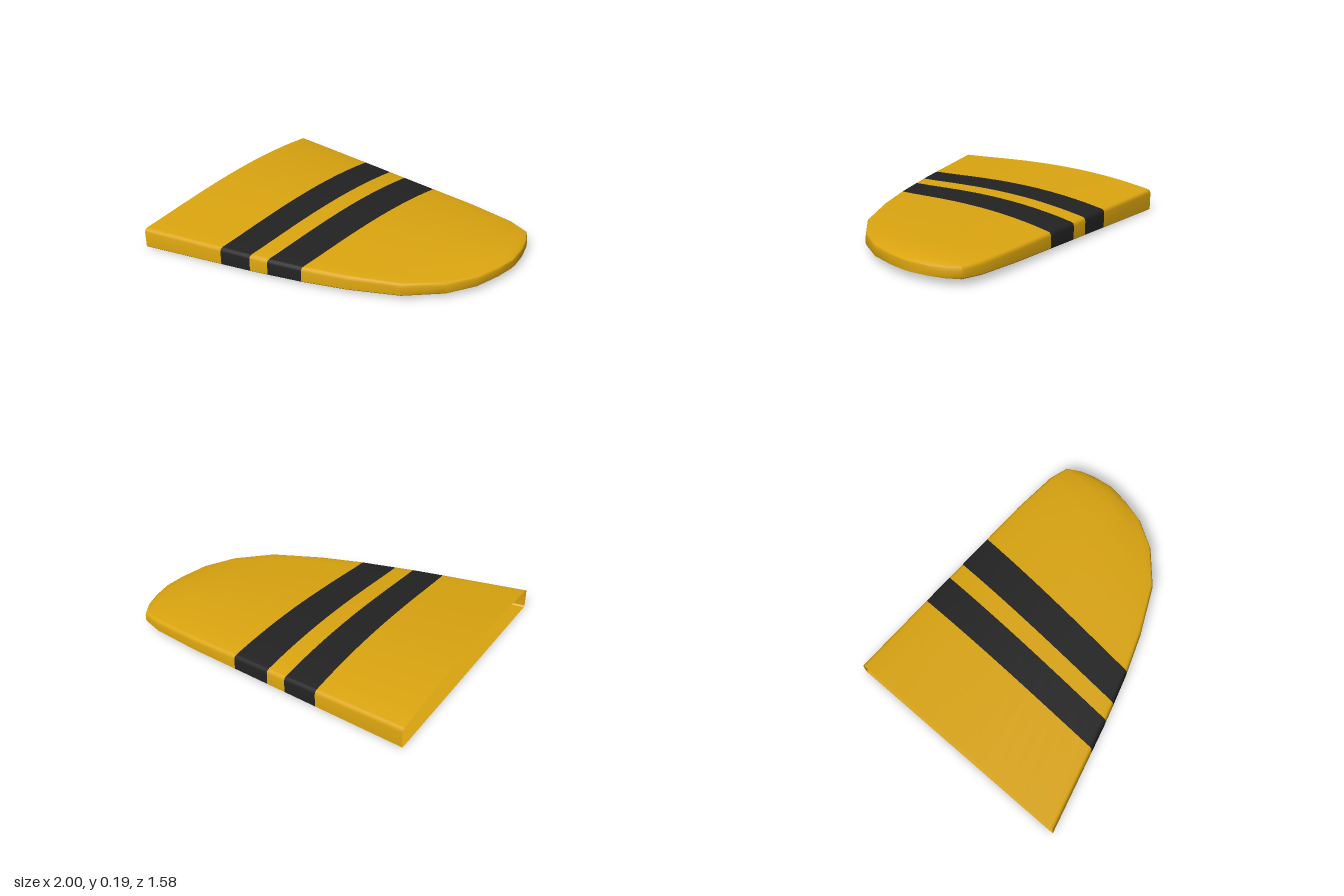
import * as THREE from 'three';
import { toCreasedNormals } from 'three/addons/utils/BufferGeometryUtils.js';

// Spanwise ribs from open root to rounded tip:
// front x, front z, back x, back z, edge height, crown height, material of the strip that follows
const RIBS = [
  [-1, 0.787, -1, -0.795, 0.14, 0.187, 0],
  [-0.47, 0.645, -0.42, -0.795, 0.136, 0.178, 1],
  [-0.275, 0.592, -0.205, -0.795, 0.134, 0.173, 0],
  [-0.16, 0.557, -0.08, -0.795, 0.132, 0.17, 1],
  [0.055, 0.49, 0.16, -0.795, 0.13, 0.165, 0],
  [0.32, 0.39, 0.48, -0.795, 0.127, 0.157, 0],
  [0.62, 0.245, 0.78, -0.78, 0.122, 0.149, 0],
  [0.82, 0.065, 0.91, -0.745, 0.116, 0.138, 0],
  [0.93, -0.11, 0.955, -0.67, 0.111, 0.126, 0],
  [0.98, -0.28, 0.985, -0.57, 0.106, 0.114, 0],
  [1, -0.4, 1, -0.46, 0.101, 0.104, 0],
];
const BENT_RIB = 4; // the outer stripe's edge kinks on the underside
const TOP_STEPS = 14;

// Upswept underside
const floorY = (x) => 0.022 * (x + 1);

// Closed loop of points round one rib: up the front wall, over the top, down the back, along the floor
function ribLoop([fx, fz, bx, bz, edge, crown], bend) {
  const front = new THREE.Vector2(fx, fz);
  const back = new THREE.Vector2(bx, bz);
  const length = front.distanceTo(back);
  const frac = (inset) => Math.min(inset / length, 0.3);
  const loop = [];
  const add = (t, height, fromFloor, dx = 0) => {
    const p = front.clone().lerp(back, t);
    const x = p.x + dx;
    loop.push([x, fromFloor ? floorY(x) + height : height, p.y]);
  };
  // Wall: inset, height, measured from floor or absolute
  const wall = [
    [0.008, 0, true], [0, 0.008, true], [0, edge - 0.025, false],
    [0.004, edge - 0.011, false], [0.012, edge - 0.003, false],
  ];
  wall.forEach(([inset, h, low]) => add(frac(inset), h, low));
  const k = frac(0.025);
  for (let i = 0; i <= TOP_STEPS; i++) {
    const u = i / TOP_STEPS;
    const s = Math.pow(u, 1.25);
    add(k + (1 - 2 * k) * u, edge + (crown - edge) * 4 * s * (1 - s), false);
  }
  wall.reverse().forEach(([inset, h, low]) => add(1 - frac(inset), h, low));
  add(0.5, 0, true, bend);
  return loop;
}

function wingGeometry() {
  const loops = RIBS.map((rib, i) => ribLoop(rib, i === BENT_RIB ? 0.04 : 0));
  // Last loop flattened to a line closes the tip
  loops.push(loops[loops.length - 1].map(([x, , z]) => [x, 0.075, z]));

  const n = loops[0].length;
  const geometry = new THREE.BufferGeometry();
  geometry.setAttribute('position', new THREE.Float32BufferAttribute(loops.flat(2), 3));
  const index = [];
  RIBS.forEach((rib, i) => {
    geometry.addGroup(index.length, n * 6, rib[6]);
    for (let j = 0; j < n; j++) {
      const a = i * n + j;
      const b = i * n + ((j + 1) % n);
      index.push(a, a + n, b + n, a, b + n, b);
    }
  });
  geometry.setIndex(index);
  return toCreasedNormals(geometry, 0.6);
}

export function createModel() {
  const yellow = new THREE.MeshStandardMaterial({ color: 0xdba510, side: THREE.DoubleSide });
  yellow.name = 'golden yellow';
  const black = new THREE.MeshStandardMaterial({ color: 0x222222, side: THREE.DoubleSide });
  black.name = 'stripe black';

  // Hollow wing panel with two painted bands wrapping all the way round
  const wing = new THREE.Mesh(wingGeometry(), [yellow, black]);
  wing.name = 'wingPanel';

  const model = new THREE.Group();
  model.name = 'stripedWing';
  model.add(wing);
  return model;
}
